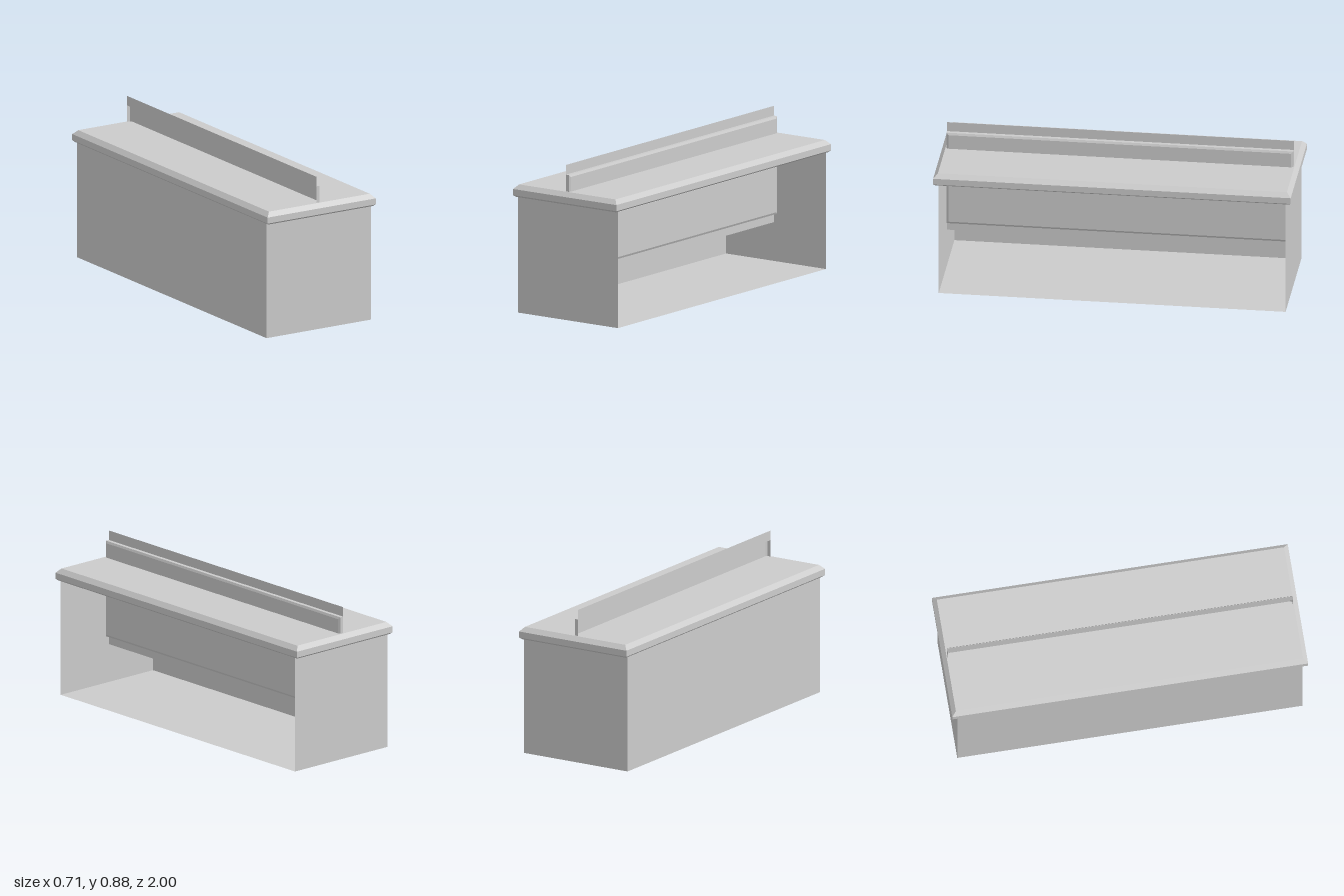
import * as THREE from 'three';

const material = new THREE.MeshStandardMaterial({ color: 0xcccccc, flatShading: true, side: THREE.DoubleSide });

const HALF_X = 0.345, HALF_Z = 0.97, WALL_TOP = 0.665;

function add(group, geometry, name) {
  const mesh = new THREE.Mesh(geometry, material);
  mesh.name = name;
  group.add(mesh);
  return mesh;
}

// Hollow shell through rectangular rings, open at the first ring and capped at the last.
// Each ring is [halfU, halfV, w]; place(u, v, w) turns it into a point.
function shell(rings, place) {
  const corners = rings.map(([u, v, w]) =>
    [[-1, -1], [1, -1], [1, 1], [-1, 1]].map(([su, sv]) => place(su * u, sv * v, w)));
  const positions = [];
  const quad = (a, b, c, d) => positions.push(...a, ...b, ...c, ...a, ...c, ...d);
  for (let r = 0; r < corners.length - 1; r++) {
    for (let i = 0; i < 4; i++) {
      const j = (i + 1) % 4;
      quad(corners[r][i], corners[r][j], corners[r + 1][j], corners[r + 1][i]);
    }
  }
  quad(...corners[corners.length - 1]);
  const geometry = new THREE.BufferGeometry();
  geometry.setAttribute('position', new THREE.Float32BufferAttribute(positions, 3));
  geometry.computeVertexNormals();
  return geometry;
}

// Thin box body, open at the top and on the +x side
function createBody() {
  const body = new THREE.Group();
  body.name = 'body';
  add(body, new THREE.PlaneGeometry(2 * HALF_X, 2 * HALF_Z).rotateX(Math.PI / 2), 'floor');
  add(body, new THREE.PlaneGeometry(2 * HALF_Z, WALL_TOP).rotateY(-Math.PI / 2), 'sideWall')
    .position.set(-HALF_X, WALL_TOP / 2, 0);
  for (const side of [1, -1]) {
    const wall = new THREE.PlaneGeometry(2 * HALF_X, WALL_TOP);
    if (side < 0) wall.rotateY(Math.PI);
    add(body, wall, side > 0 ? 'frontWall' : 'backWall').position.set(0, WALL_TOP / 2, side * HALF_Z);
  }
  return body;
}

// Upright panel through the lid: flat strips with two raised, hollow-backed slats
function createPanel() {
  const panel = new THREE.Group();
  panel.name = 'centrePanel';
  const back = -0.015, shoulder = 0.006, face = 0.012, bevel = 0.012;
  for (const [low, high] of [[0.22, 0.27], [0.55, 0.58], [0.825, 0.88]]) {
    add(panel, new THREE.PlaneGeometry(2 * HALF_Z, high - low).rotateY(Math.PI / 2), 'flatStrip')
      .position.set(back, (low + high) / 2, 0);
  }
  for (const [low, high] of [[0.27, 0.55], [0.58, 0.825]]) {
    const half = (high - low) / 2;
    const rings = [
      [half, HALF_Z, back],
      [half, HALF_Z, shoulder],
      [half - bevel, HALF_Z - bevel, face],
    ];
    add(panel, shell(rings, (u, v, w) => [w, u, v]), 'raisedSlat').position.y = (low + high) / 2;
  }
  return panel;
}

export function createModel() {
  const model = new THREE.Group();
  model.name = 'chest';
  model.add(createBody());

  // Hollow lid with a chamfered top edge and an undercut lower lip
  const lidRings = [
    [0.988, 0.345, 0.66],
    [1.0, 0.357, 0.67],
    [1.0, 0.357, 0.705],
    [0.976, 0.333, 0.73],
  ];
  add(model, shell(lidRings, (u, v, w) => [v, w, u]), 'lid');

  model.add(createPanel());
  return model;
}
